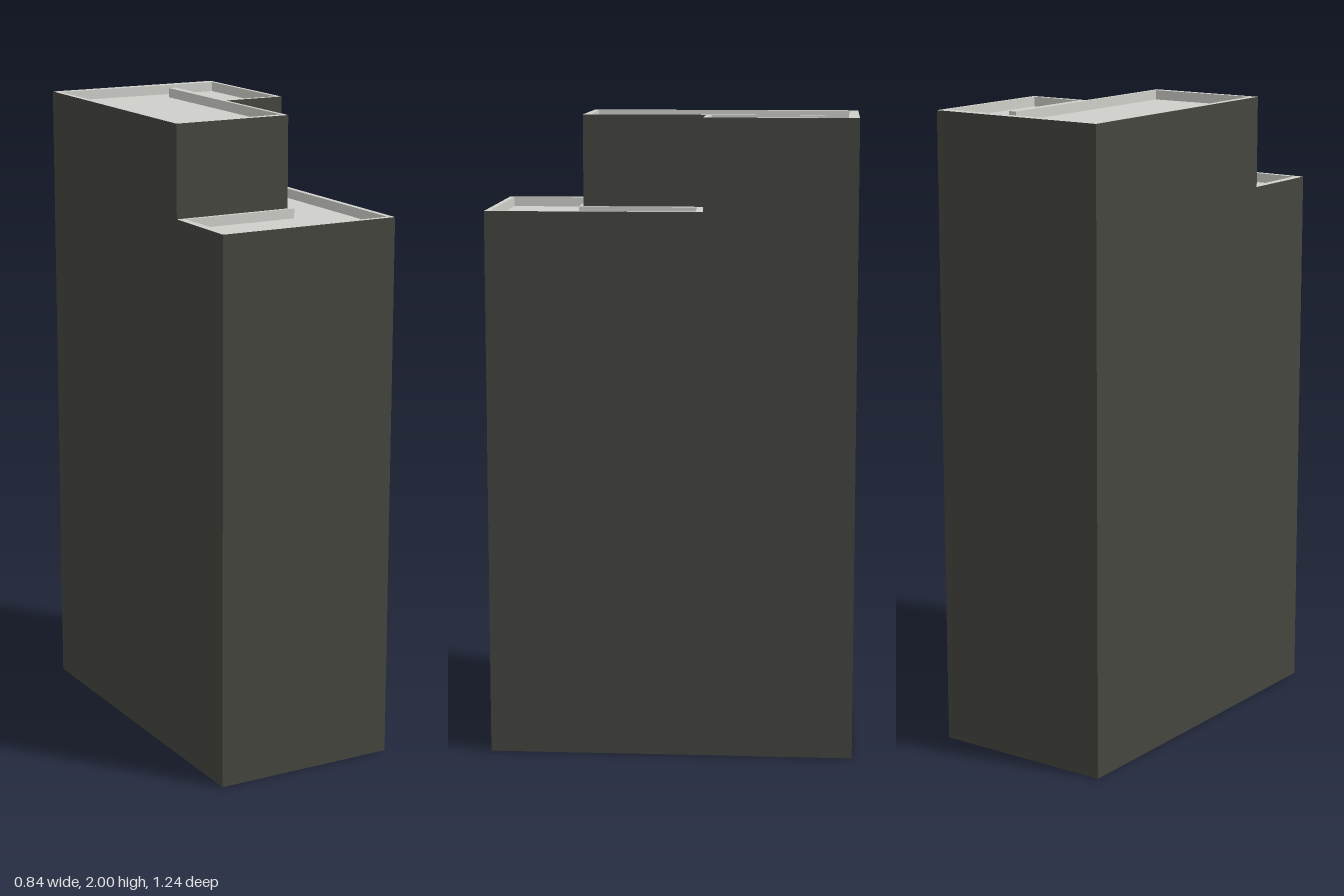
import * as THREE from 'three';

const wallMat = new THREE.MeshStandardMaterial({ name: 'dark facade', color: 0x45453f });
const roofMat = new THREE.MeshStandardMaterial({ name: 'light roof', color: 0xcfcfca });

// Plan corners as [x, z]; loops run counter-clockwise seen from above
const frontLeft = [-0.419, 0.486], frontRight = [0.155, 0.62];
const backRight = [0.417, -0.492], backLeft = [-0.155, -0.624];
const stepLeft = [-0.354, 0.211], stepCorner = [0.02, 0.297];
const stepInner = [0.109, -0.077], stepRight = [0.307, -0.033];

const upperOuter = [stepLeft, stepCorner, stepInner, stepRight, backRight, backLeft];
const lowerOuter = [frontLeft, frontRight, stepRight, stepInner, stepCorner, stepLeft];
// The upper recess wraps around a narrow spur wall
const upperInner = [[-0.327, 0.201], [0.013, 0.271], [0.182, -0.436], [0.208, -0.432],
  [0.129, -0.092], [0.297, -0.05], [0.396, -0.462], [-0.145, -0.594]];
const lowerInner = [[-0.389, 0.475], [0.142, 0.6], [0.284, -0.013],
  [0.129, -0.046], [0.033, 0.313], [-0.333, 0.231]];

const BASE = 0, LOWER = 1.715, UPPER = 2, RECESS = 0.03;

// Vertical quads along a path; front side is to the right of travel
function walls(name, path, y0, y1, material) {
  const pos = [];
  for (let i = 0; i + 1 < path.length; i++) {
    const [ax, az] = path[i], [bx, bz] = path[i + 1];
    pos.push(ax, y0, az, bx, y0, bz, bx, y1, bz, ax, y0, az, bx, y1, bz, ax, y1, az);
  }
  const geo = new THREE.BufferGeometry();
  geo.setAttribute('position', new THREE.Float32BufferAttribute(pos, 3));
  geo.computeVertexNormals();
  const mesh = new THREE.Mesh(geo, material);
  mesh.name = name;
  return mesh;
}

// Horizontal face with an optional hole, facing up (dir 1) or down (dir -1)
function slab(name, outline, y, material, hole, dir = 1) {
  const pts = (loop) => loop.map(([x, z]) => new THREE.Vector2(x, -dir * z));
  const shape = new THREE.Shape(pts(outline));
  if (hole) shape.holes.push(new THREE.Path(pts(hole)));
  const geo = new THREE.ShapeGeometry(shape).rotateX(-dir * Math.PI / 2).translate(0, y, 0);
  const mesh = new THREE.Mesh(geo, material);
  mesh.name = name;
  return mesh;
}

// Parapet top, inner parapet faces and sunken deck of one roof
function roof(name, outer, inner, y) {
  const group = new THREE.Group();
  group.name = name;
  group.add(
    slab('parapetTop', outer, y, roofMat, inner),
    walls('parapetInside', [...inner, inner[0]].reverse(), y - RECESS, y, roofMat),
    slab('roofDeck', inner, y - RECESS, roofMat),
  );
  return group;
}

export function createModel() {
  const model = new THREE.Group();
  model.name = 'steppedTower';
  model.add(
    // Facades
    walls('lowerFacade', [stepLeft, frontLeft, frontRight, stepRight], BASE, LOWER, wallMat),
    walls('tallFacade', [stepRight, backRight, backLeft, stepLeft], BASE, UPPER, wallMat),
    walls('setbackFacade', [stepLeft, stepCorner, stepInner, stepRight], LOWER, UPPER, wallMat),
    slab('underside', [frontLeft, frontRight, backRight, backLeft], BASE, wallMat, null, -1),
    // Roofs
    roof('lowerRoof', lowerOuter, lowerInner, LOWER),
    roof('upperRoof', upperOuter, upperInner, UPPER),
  );
  return model;
}
